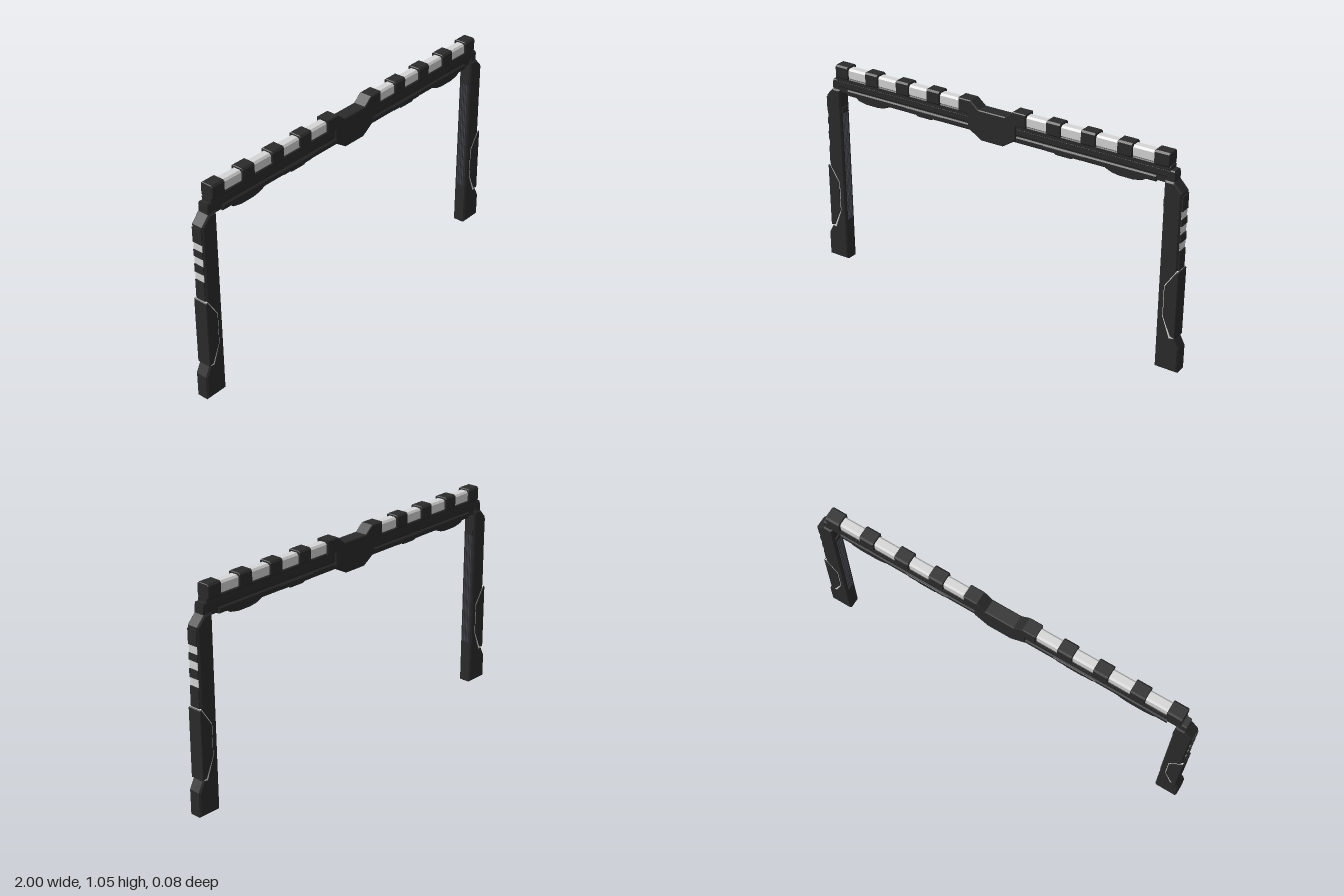
import * as THREE from 'three';

const mat = (name, color, opts = {}) => {
  const m = new THREE.MeshStandardMaterial({ color, ...opts });
  m.name = name;
  return m;
};

// Front outline [x, y] extruded symmetrically in z, chamfered inside its outline
function plate(points, halfDepth, bevel = 0.006) {
  const shape = new THREE.Shape(points.map(([x, y]) => new THREE.Vector2(x, y)));
  const depth = 2 * (halfDepth - bevel);
  const geo = new THREE.ExtrudeGeometry(shape, {
    depth, bevelEnabled: bevel > 0, bevelSize: bevel, bevelThickness: bevel,
    bevelOffset: -bevel, bevelSegments: 1,
  });
  return geo.translate(0, 0, -depth / 2);
}

// Chamfered bar running along x, from x0 to x1 and y0 to y1
function bar(x0, x1, y0, y1, halfZ, c = 0.006, bevel = 0) {
  const pts = [
    [-halfZ, y0 + c], [-halfZ + c, y0], [halfZ - c, y0], [halfZ, y0 + c],
    [halfZ, y1 - c], [halfZ - c, y1], [-halfZ + c, y1], [-halfZ, y1 - c],
  ];
  const geo = plate(pts, (x1 - x0) / 2, bevel);
  return geo.rotateY(Math.PI / 2).translate((x0 + x1) / 2, 0, 0);
}

const box = (x0, x1, y0, y1, z0, z1) =>
  new THREE.BoxGeometry(x1 - x0, y1 - y0, z1 - z0)
    .translate((x0 + x1) / 2, (y0 + y1) / 2, (z0 + z1) / 2);

// Mirrors a half outline across x = 0
const mirrored = (half) => [...half, ...half.map(([x, y]) => [-x, y]).reverse()];

export function createModel() {
  const group = new THREE.Group();
  const dark = mat('charcoal', 0x2b2b2b);
  const light = mat('lampWhite', 0xd6d6d6);
  const rib = mat('slateRib', 0x41424a);

  const add = (parent, name, geo, material) => {
    const mesh = new THREE.Mesh(geo, material);
    mesh.name = name;
    parent.add(mesh);
    return mesh;
  };

  // Cross beam: stacked rails
  add(group, 'topRail', bar(-0.908, 0.908, 0.966, 0.992, 0.026, 0.004), dark);
  add(group, 'beamCore', bar(-0.915, 0.915, 0.91, 0.97, 0.021, 0.003), dark);
  add(group, 'middleRail', bar(-0.927, 0.927, 0.938, 0.974, 0.026, 0.005), dark);
  add(group, 'lowerRail', bar(-0.84, 0.84, 0.904, 0.934, 0.029, 0.006), dark);

  // Centre housing: raised shoulders above and keel below
  add(group, 'centreHousing', plate(mirrored([
    [0.06, 0.87], [0.13, 0.915], [0.13, 0.985], [0.183, 0.987],
    [0.183, 1.053], [0.115, 1.053], [0.072, 1.017],
  ]), 0.034, 0.004), dark);

  for (const side of [1, -1]) {
    const half = new THREE.Group();
    half.name = side > 0 ? 'leftSide' : 'rightSide';
    // A half turn about y keeps the faces outward; every part is symmetric in z
    if (side < 0) half.rotation.y = Math.PI;
    group.add(half);

    // Lamp row and its clamps
    add(half, 'lampBar', bar(0.17, 0.86, 0.988, 1.044, 0.025, 0.009), light);
    for (const x of [0.327, 0.505, 0.687, 0.867]) {
      add(half, 'lampClamp', bar(x - 0.037, x + 0.037, 0.985, 1.053, 0.034, 0.008, 0.003), dark);
    }

    // Pods below the beam
    add(half, 'outerPod', plate([
      [0.58, 0.92], [0.59, 0.903], [0.625, 0.889], [0.66, 0.884],
      [0.73, 0.884], [0.775, 0.893], [0.795, 0.908], [0.795, 0.92],
    ], 0.028, 0.004), dark);
    add(half, 'innerPod', plate([
      [0.27, 0.928], [0.29, 0.906], [0.33, 0.906], [0.34, 0.9],
      [0.42, 0.9], [0.43, 0.906], [0.47, 0.906], [0.49, 0.928],
    ], 0.031, 0.003), dark);
    for (const x of [0.2, 0.38, 0.54]) {
      add(half, 'undersidePlate', box(x - 0.05, x + 0.05, 0.899, 0.906, -0.014, 0.014), dark);
    }

    // Leg with chamfered shoulder and flared foot
    add(half, 'leg', plate([
      [0.885, 0], [1, 0], [1, 0.12], [0.97, 0.178], [0.97, 0.882],
      [0.93, 0.925], [0.885, 0.925],
    ], 0.034, 0.007), dark);
    add(half, 'shoulderBlock', box(0.895, 0.93, 0.9, 0.962, -0.026, 0.026), dark);

    // Outer armour panel over a thin pale trim
    add(half, 'panelTrim', plate([
      [0.95, 0.166], [0.975, 0.172], [0.975, 0.512], [0.969, 0.512],
      [0.912, 0.424], [0.912, 0.268],
    ], 0.0347, 0.001), light);
    add(half, 'armourPanel', plate([
      [0.955, 0.18], [0.98, 0.172], [0.98, 0.505], [0.972, 0.51],
      [0.915, 0.422], [0.915, 0.27],
    ], 0.0375, 0.003), dark);

    // Marker lamps on the outer face
    for (const y of [0.778, 0.706, 0.627]) {
      add(half, 'markerLamp', box(0.966, 0.972, y - 0.018, y + 0.018, -0.025, 0.025), light);
    }
    for (const [y0, y1] of [[0.797, 0.87], [0.726, 0.759], [0.647, 0.686], [0.51, 0.607]]) {
      add(half, 'markerFrame', box(0.966, 0.975, y0, y1, -0.026, 0.026), dark);
    }

    // Ribbed strip on the inner face
    for (const z of [-0.015, -0.005, 0.005, 0.015]) {
      add(half, 'innerRib', box(0.881, 0.888, 0.22, 0.8, z - 0.0025, z + 0.0025), rib);
    }
    add(half, 'innerStripCap', box(0.88, 0.89, 0.8, 0.83, -0.022, 0.022), dark);
  }
  return group;
}
